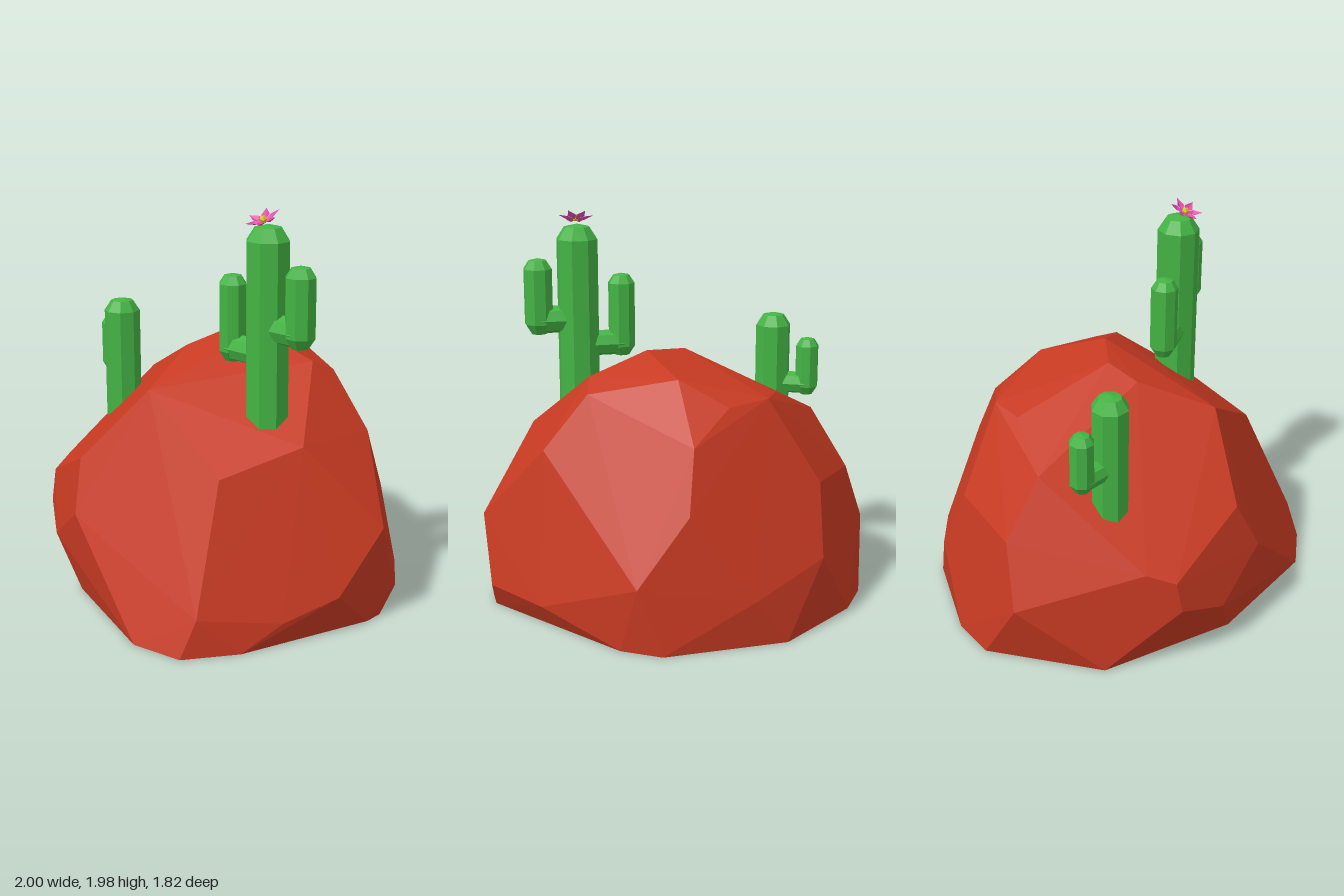
import * as THREE from 'three';
import { ConvexGeometry } from 'three/addons/geometries/ConvexGeometry.js';

const material = (color, side = THREE.FrontSide) =>
  new THREE.MeshStandardMaterial({ color, flatShading: true, side });

const rockRed = material(0xc73a22);
const cactusGreen = material(0x44b444);
const petalPink = material(0xe04aa8, THREE.DoubleSide);
const budYellow = material(0xd8c020);

function add(parent, name, geometry, mat) {
  const mesh = new THREE.Mesh(geometry, mat);
  mesh.name = name;
  parent.add(mesh);
  return mesh;
}

// Faceted boulder: hull over a flat base outline and the corners above it
function makeBoulder() {
  const base = [
    [0.5, 0.91], [0.75, 0.82], [0.87, 0.56], [0.96, -0.14], [0.94, -0.24], [0.31, -0.83],
    [0.11, -0.91], [-0.5, -0.78], [-0.86, -0.41], [-0.96, -0.19], [-0.8, 0.41], [-0.18, 0.8],
  ];
  const corners = [
    // lower ring
    [0.77, 0.18, 0.74], [0.93, 0.12, 0.36], [1.0, 0.2, 0.08], [0.95, 0.14, -0.33],
    [0.69, 0.12, -0.57], [0.23, 0.33, -0.89], [-0.34, 0.24, -0.84], [-0.69, 0.36, -0.61],
    [-1.0, 0.35, 0.02], [-0.6, 0.35, 0.73], [-0.36, 0.26, 0.84],
    // middle ring
    [-0.06, 0.47, 0.89], [-0.15, 0.72, 0.8], [0.63, 0.77, 0.51], [0.99, 0.48, -0.2],
    [0.74, 0.88, 0.1], [0.67, 0.86, -0.37], [-0.02, 0.66, -0.82], [-0.69, 0.7, -0.46],
    [-0.89, 0.66, -0.08], [-0.68, 0.56, 0.57], [-0.61, 0.51, 0.7],
    // crown
    [0.1, 1.09, 0.55], [-0.71, 0.96, 0], [-0.05, 0.95, -0.68], [-0.49, 1.11, -0.25],
    [-0.43, 1.12, -0.42], [-0.23, 1.1, -0.51], [0.01, 1.22, -0.42], [0.45, 1.13, -0.33],
    [0.44, 1.19, -0.2], [0.15, 1.3, -0.11], [-0.05, 1.28, 0.02], [-0.08, 1.23, 0.2],
  ];
  const points = base.map(([x, z]) => new THREE.Vector3(x, 0, z))
    .concat(corners.map((c) => new THREE.Vector3(...c)));
  return new ConvexGeometry(points);
}

// Eight-sided column with a stepped dome, and an optional tapered foot
function column(radius, bottom, top, foot) {
  const profile = [
    [0, bottom], [radius * 0.55, bottom], [radius, bottom + foot],
    [radius, top - radius * 0.72], [radius * 0.62, top - radius * 0.14], [0, top],
  ].map(([r, y]) => new THREE.Vector2(r, y));
  return new THREE.LatheGeometry(profile, 8, Math.PI / 8);
}

// Cactus: trunk plus side arms, each a horizontal branch and an upright
function makeCactus(name, { x, z, turn, radius, bottom, top, arms }) {
  const cactus = new THREE.Group();
  cactus.name = name;
  cactus.position.set(x, 0, z);
  cactus.rotation.y = turn;
  add(cactus, 'trunk', column(radius, bottom, top, 0), cactusGreen);
  for (const arm of arms) {
    const upright = add(cactus, 'armUpright',
      column(arm.radius, arm.bottom, arm.top, arm.radius * 0.7), cactusGreen);
    upright.position.x = arm.reach;
    const r = arm.radius * 0.95;
    const branch = add(cactus, 'armBranch',
      new THREE.CylinderGeometry(r, r, Math.abs(arm.reach), 8), cactusGreen);
    branch.rotation.z = Math.PI / 2;
    branch.position.set(arm.reach / 2, arm.bottom + r, 0);
  }
  return cactus;
}

// Pointed petal, folded along its middle, with a raised tip
function petalGeometry(length) {
  const w = length * 0.26;
  const geometry = new THREE.BufferGeometry();
  geometry.setAttribute('position', new THREE.Float32BufferAttribute([
    0, 0, 0, length * 0.5, 0.012, w, length * 0.5, 0, 0,
    length * 0.5, 0.012, w, length, 0.025, 0, length * 0.5, 0, 0,
    0, 0, 0, length * 0.5, 0, 0, length * 0.5, 0.012, -w,
    length * 0.5, 0, 0, length, 0.025, 0, length * 0.5, 0.012, -w,
  ], 3));
  geometry.computeVertexNormals();
  return geometry;
}

function makeFlower() {
  const flower = new THREE.Group();
  flower.name = 'flower';
  const petal = petalGeometry(0.088);
  for (let i = 0; i < 6; i++) {
    add(flower, 'petal', petal, petalPink).rotation.y = (i * Math.PI) / 3 + 0.1;
  }
  const bud = add(flower, 'flowerCentre', new THREE.IcosahedronGeometry(0.02, 0), budYellow);
  bud.position.y = 0.01;
  flower.position.set(0.5, 1.925, 0.16);
  flower.rotation.x = 0.42;
  return flower;
}

export function createModel() {
  const model = new THREE.Group();
  model.name = 'desertBoulder';
  add(model, 'boulder', makeBoulder(), rockRed);
  model.add(makeCactus('tallCactus', {
    x: 0.495, z: 0.13, turn: 0.17, radius: 0.108, bottom: 0.85, top: 1.91,
    arms: [
      { reach: 0.205, radius: 0.075, bottom: 1.35, top: 1.74 },
      { reach: -0.228, radius: 0.07, bottom: 1.22, top: 1.65 },
    ],
  }));
  model.add(makeCactus('shortCactus', {
    x: -0.545, z: 0.3, turn: -0.27, radius: 0.094, bottom: 0.68, top: 1.41,
    arms: [{ reach: -0.187, radius: 0.062, bottom: 0.97, top: 1.28 }],
  }));
  model.add(makeFlower());
  return model;
}
